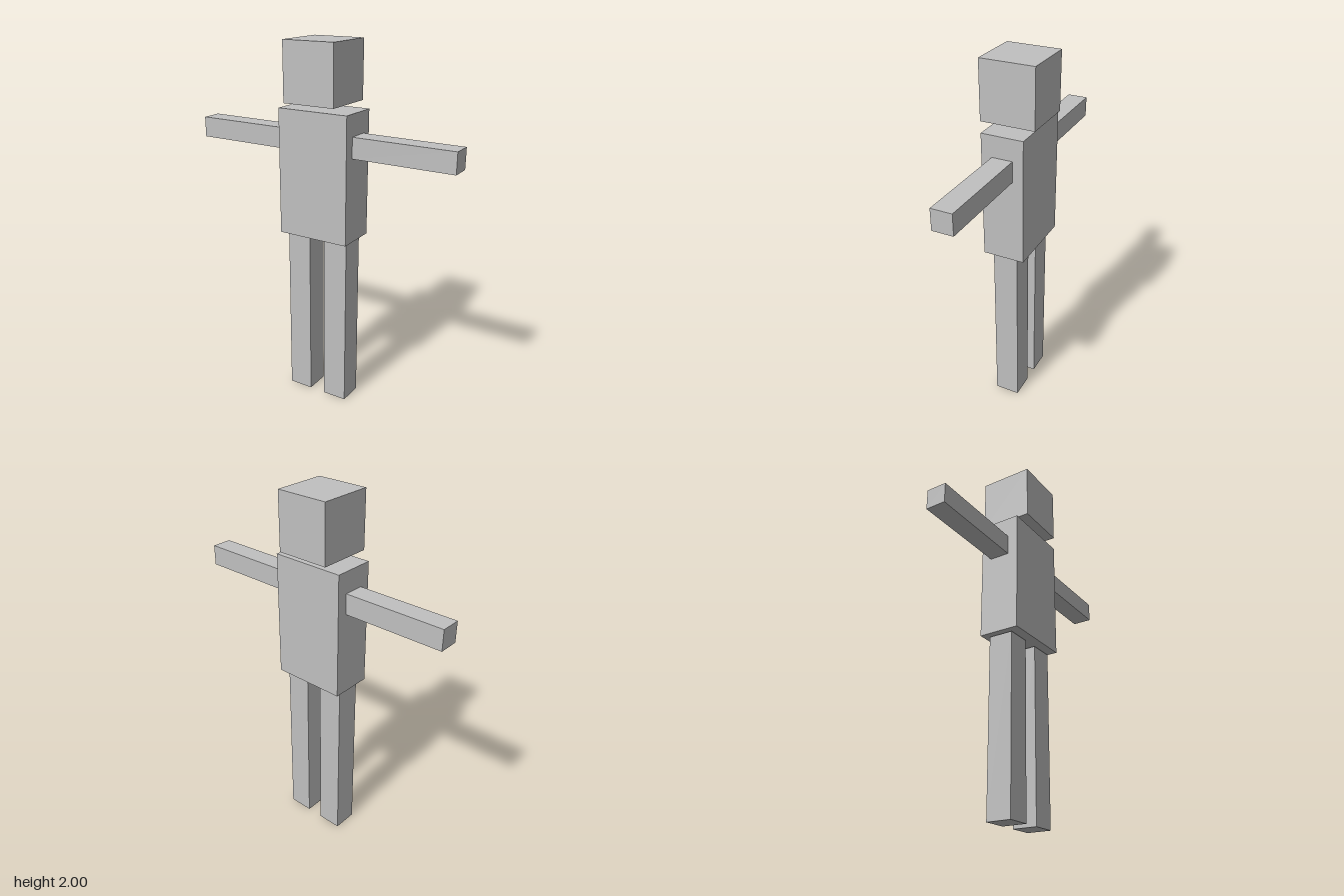
import * as THREE from 'three';

export function createModel() {
  const model = new THREE.Group();
  model.name = 'blockFigure';

  const grey = new THREE.MeshStandardMaterial({ color: 0xc0c0c0 });
  grey.name = 'light grey';

  // Adds a box of the given size, centred on x and z, spanning y0 to y1
  function block(name, x, width, y0, y1, depth) {
    const mesh = new THREE.Mesh(new THREE.BoxGeometry(width, y1 - y0, depth), grey);
    mesh.name = name;
    mesh.position.set(x, (y0 + y1) / 2, 0);
    model.add(mesh);
  }

  // Head floats just above the torso
  block('head', 0, 0.295, 1.687, 2, 0.295);
  block('torso', 0, 0.408, 0.97, 1.653, 0.228);

  // Outstretched arms and straight legs, mirrored
  for (const [side, s] of [['left', 1], ['right', -1]]) {
    block(side + 'Arm', s * 0.482, 0.556, 1.425, 1.537, 0.112);
    block(side + 'Leg', s * 0.114, 0.137, 0, 0.96, 0.137);
  }

  return model;
}
